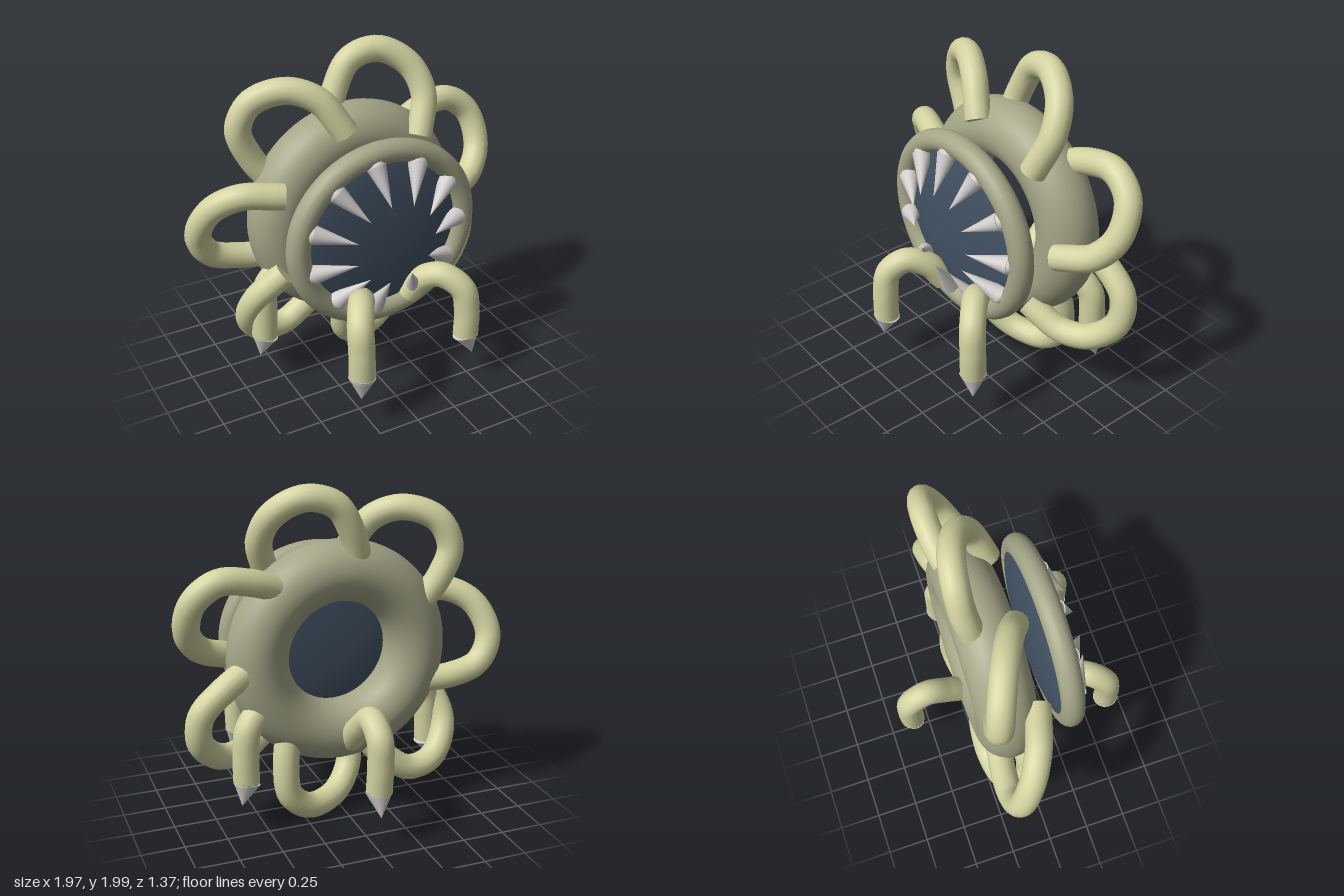
import * as THREE from 'three';

const mat = (name, color, side = THREE.FrontSide) => {
  const m = new THREE.MeshStandardMaterial({ color, side });
  m.name = name;
  return m;
};

export function createModel() {
  const root = new THREE.Group();
  root.name = 'toothedRingCreature';
  const olive = mat('dull olive', 0xa5a588);
  const khaki = mat('pale khaki', 0xd2d2a0, THREE.DoubleSide);
  const slate = mat('dark slate', 0x425264);
  const bone = mat('bone grey', 0xd0cccb);
  const V = (x, y, z) => new THREE.Vector3(x, y, z);
  const CX = 0.024, CY = 1.01, TUBE = 0.076;

  const add = (parent, name, geometry, material) => {
    const mesh = new THREE.Mesh(geometry, material);
    mesh.name = name;
    parent.add(mesh);
    return mesh;
  };

  // Round limb along a smooth curve, closed by a disc at each end
  const limb = (parent, name, points) => {
    const g = new THREE.Group();
    g.name = name;
    parent.add(g);
    const curve = new THREE.CatmullRomCurve3(points);
    add(g, 'limbTube', new THREE.TubeGeometry(curve, 40, TUBE, 16), khaki);
    for (const t of [0, 1]) {
      const cap = add(g, 'limbEnd', new THREE.CircleGeometry(TUBE, 16), khaki);
      const dir = curve.getTangent(t).multiplyScalar(t ? 1 : -1);
      cap.position.copy(curve.getPoint(t));
      cap.quaternion.setFromUnitVectors(V(0, 0, 1), dir);
    }
    return g;
  };

  // Cone from the centre of its base to its tip
  const spike = (parent, name, base, tip, radius) => {
    const dir = tip.clone().sub(base);
    const cone = add(parent, name, new THREE.ConeGeometry(radius, dir.length(), 16), bone);
    cone.position.copy(base).add(tip).multiplyScalar(0.5);
    cone.quaternion.setFromUnitVectors(V(0, 1, 0), dir.normalize());
    return cone;
  };

  // Thick body ring
  const body = add(root, 'bodyRing', new THREE.TorusGeometry(0.48, 0.177, 32, 72), olive);
  body.position.set(CX, CY, -0.105);

  // Mouth: lip, dark lens and inward-pointing teeth, slightly oval
  const mouth = new THREE.Group();
  mouth.name = 'mouth';
  mouth.position.set(CX, CY, 0.27);
  mouth.scale.y = 0.95;
  root.add(mouth);
  add(mouth, 'lip', new THREE.TorusGeometry(0.53, 0.07, 20, 72), olive);
  const lens = add(mouth, 'throat', new THREE.SphereGeometry(0.55, 48, 24), slate);
  lens.scale.z = 0.16;
  lens.position.z = -0.027;
  for (let i = 0; i < 11; i++) {
    const a = (i / 11) * Math.PI * 2, c = Math.cos(a), s = Math.sin(a);
    spike(mouth, 'tooth', V(0.475 * c, 0.475 * s, 0.04), V(0.25 * c, 0.25 * s, 0.165), 0.058);
    const knob = add(mouth, 'toothRoot', new THREE.SphereGeometry(0.055, 14, 10), bone);
    knob.position.set(0.472 * c, 0.472 * s, 0.038);
  }

  // Seven arms looping from the front of the body to its back:
  // each point is distance outward, offset clockwise, depth
  const loop = [
    [0.5, 0.265, 0.055], [0.57, 0.277, 0.035], [0.73, 0.29, -0.02], [0.875, 0.21, -0.1],
    [0.94, 0.03, -0.18], [0.865, -0.125, -0.21], [0.69, -0.19, -0.205], [0.5, -0.21, -0.17],
  ].map(([r, t, z]) => V(t, r, z));
  for (let i = 0; i < 7; i++) {
    const arm = limb(root, 'loopArm', loop);
    arm.position.set(CX, CY, 0);
    arm.rotation.z = ((78.5 - 90) * Math.PI) / 180 + (i * Math.PI * 2) / 7;
  }

  // Bent legs, each ending in a claw; the last point is the claw tip
  const legs = {
    frontRightLeg: [[-0.13, 0.56, 0.3], [-0.17, 0.67, 0.38], [-0.235, 0.715, 0.49],
      [-0.29, 0.64, 0.585], [-0.295, 0.5, 0.61], [-0.295, 0.33, 0.615], [-0.31, 0.195, 0.635]],
    frontLeftLeg: [[0.2, 0.56, 0.28], [0.255, 0.67, 0.34], [0.335, 0.715, 0.42],
      [0.43, 0.64, 0.51], [0.455, 0.5, 0.53], [0.455, 0.33, 0.53], [0.49, 0.195, 0.56]],
    backLeg: [[-0.015, 0.5, -0.22], [-0.025, 0.63, -0.36], [-0.035, 0.715, -0.48],
      [-0.04, 0.64, -0.59], [-0.04, 0.5, -0.605], [-0.035, 0.33, -0.6], [-0.025, 0.195, -0.66]],
    sideRightLeg: [[-0.38, 0.68, -0.06], [-0.51, 0.72, -0.04], [-0.585, 0.65, -0.025],
      [-0.6, 0.5, -0.02], [-0.605, 0.33, -0.02], [-0.64, 0.195, -0.02]],
    sideLeftLeg: [[0.41, 0.68, -0.12], [0.53, 0.72, -0.18], [0.6, 0.65, -0.215],
      [0.62, 0.5, -0.22], [0.62, 0.33, -0.22], [0.655, 0.195, -0.24]],
  };
  for (const [name, points] of Object.entries(legs)) {
    const path = points.map((p) => V(...p));
    const tip = path.pop();
    const leg = limb(root, name, path);
    spike(leg, 'claw', path[path.length - 1], tip, 0.08);
  }
  return root;
}
